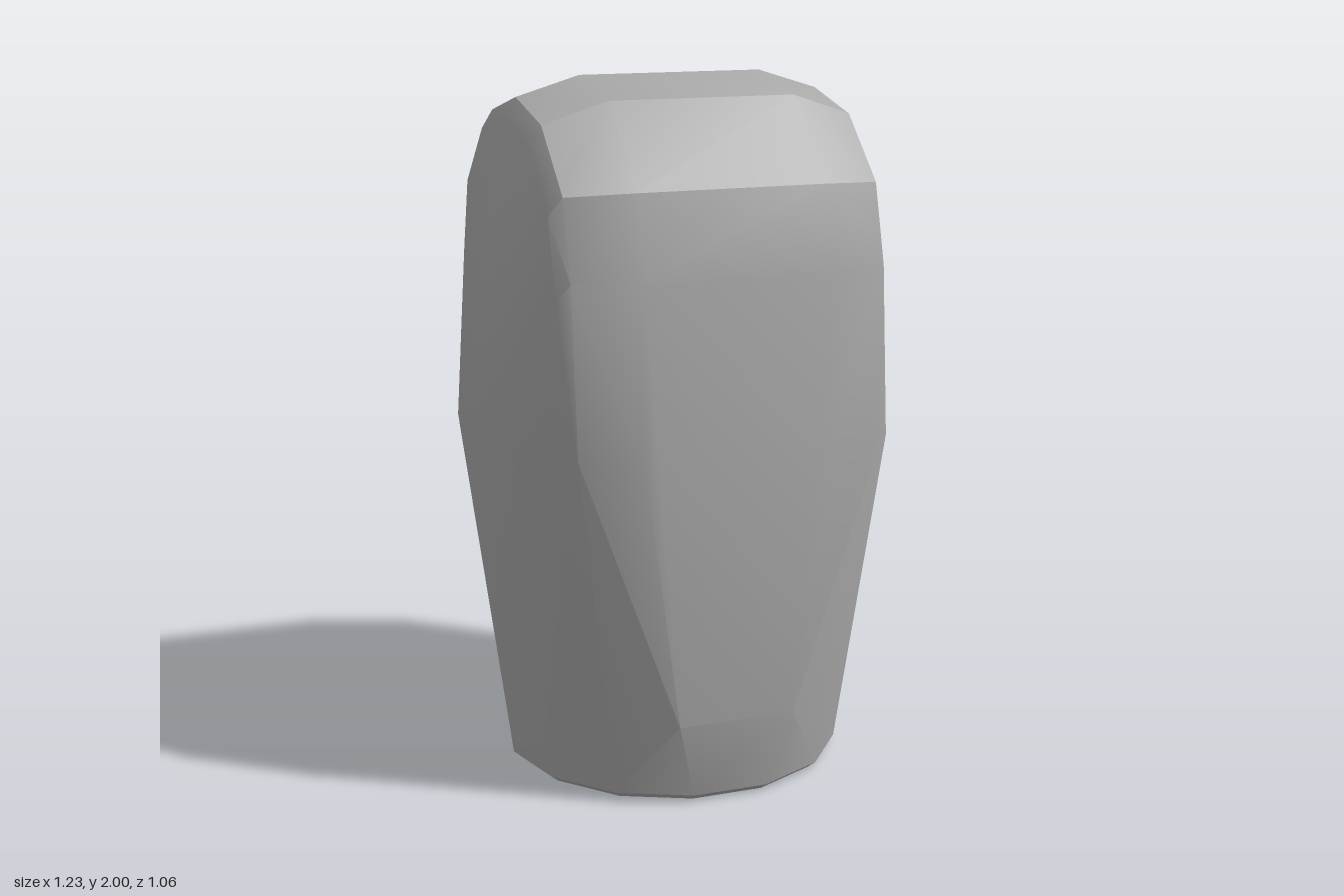
import * as THREE from 'three';
import { ConvexGeometry } from 'three/addons/geometries/ConvexGeometry.js';
import { toCreasedNormals } from 'three/addons/utils/BufferGeometryUtils.js';

export function createModel() {
  const group = new THREE.Group();
  const stone = new THREE.MeshStandardMaterial({ color: 0xaaaaaa });
  stone.name = 'grey';
  const points = [];
  const add = (x, y, z) => points.push(new THREE.Vector3(x, y, z));
  const addPair = (x, y, z) => { add(x, y, z); if (z) add(x, y, -z); };

  // round foot with a thin bevel
  for (let i = 0; i < 14; i++) {
    const a = (i / 14) * Math.PI * 2;
    add(0.47 * Math.cos(a), 0, 0.47 * Math.sin(a));
    add(0.495 * Math.cos(a), 0.02, 0.495 * Math.sin(a));
  }

  // bulging waist, given as [x, z] for one quarter
  const waist = [[0.615, 0.06], [0.595, 0.17], [0.55, 0.31], [0.5, 0.4], [0.44, 0.475]];
  for (const side of [-1, 1]) {
    for (const [x, z] of waist) addPair(side * x, side > 0 ? 0.97 : 1.02, z);
    addPair(side * 0.27, 1.0, 0.53);
    addPair(side * 0.17, 0.25, 0.53);
  }

  // rounded top: the middle span is full size, the ends are slightly smaller
  const arch = [[0.53, 1.5], [0.47, 1.73], [0.25, 1.95], [0, 2]];
  const endArch = [[0.475, 1.5], [0.415, 1.72], [0.235, 1.89], [0, 1.945]];
  for (const [z, y] of arch) for (const x of [-0.27, 0.27]) addPair(x, y, z);
  for (const [z, y] of endArch) {
    addPair(0.447, y, z);
    addPair(-0.455, y, z);
    addPair(-0.49, y - 0.05, z * 0.95);
  }

  const geometry = toCreasedNormals(new ConvexGeometry(points), 0.5);
  const body = new THREE.Mesh(geometry, stone);
  body.name = 'body';
  group.add(body);
  return group;
}
